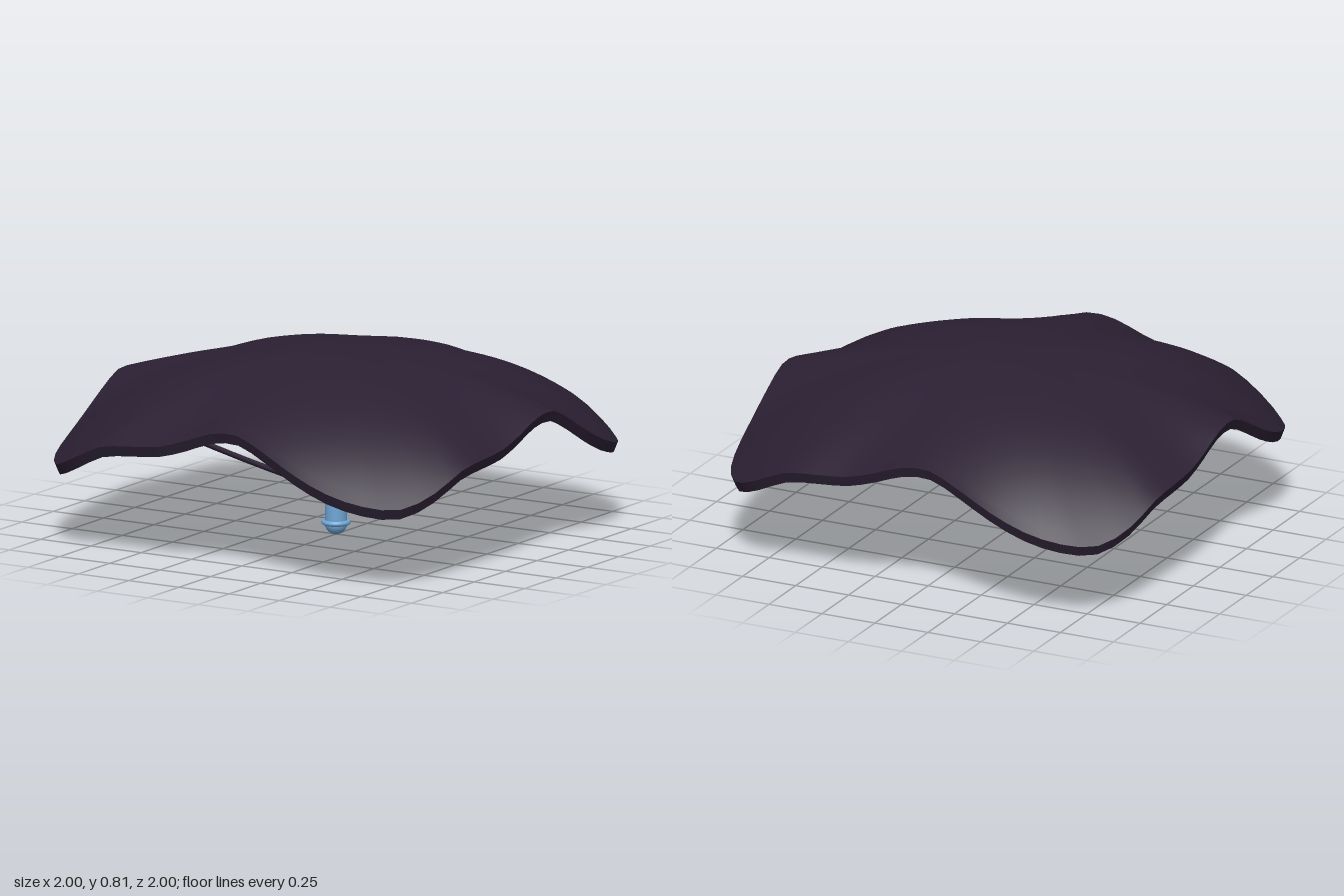
import * as THREE from 'three';

const SEG = 96;      // steps around the canopy
const RINGS = 24;    // steps from crown to hem
const CROWN = 0.81;
const DOME = 0.19;   // drop of the plain dome at the hem
const THICK = 0.045;

// Hem height over one quarter turn, every 7.5 degrees from corner to corner
const HEM = [0.36, 0.415, 0.49, 0.513, 0.528, 0.568, 0.615, 0.622, 0.56, 0.482, 0.415, 0.373];

function hemHeight(angle) {
  const n = HEM.length;
  const t = ((angle + Math.PI / 4) / (Math.PI / 2)) * n;
  const i = Math.floor(t + 1e-9), f = t - i;
  const p = (k) => HEM[(((i + k) % n) + n) % n];
  const a = p(-1), b = p(0), c = p(1), d = p(2);
  return b + 0.5 * f * (c - a + f * (2 * a - 5 * b + 4 * c - d + f * (3 * (b - c) + d - a)));
}

// Rounded-square outline, s = 0 at the crown and 1 at the hem; the waves grow towards the hem
function canopyPoint(angle, s, drop, inset) {
  const sx = Math.sin(angle), cz = Math.cos(angle), e = 4.5;
  const r = Math.pow(Math.abs(sx) ** e + Math.abs(cz) ** e, -1 / e) * s * inset;
  const wave = CROWN - DOME - hemHeight(angle);
  const y = CROWN - DOME * Math.pow(s, 1.75) - wave * Math.pow(s, 3.5) - drop;
  return [sx * r, y, cz * r];
}

// Closed loops joined into a smooth sheet
function sheet(loops) {
  const pos = [], index = [];
  loops.forEach(([s, drop, inset], i) => {
    for (let j = 0; j < SEG; j++) {
      pos.push(...canopyPoint((j / SEG) * Math.PI * 2, s, drop, inset));
      if (i === 0) continue;
      const k = (j + 1) % SEG;
      const a = (i - 1) * SEG + j, b = i * SEG + j, c = i * SEG + k, d = (i - 1) * SEG + k;
      index.push(a, b, c, a, c, d);
    }
  });
  const g = new THREE.BufferGeometry();
  g.setAttribute('position', new THREE.Float32BufferAttribute(pos, 3));
  g.setIndex(index);
  g.computeVertexNormals();
  return g;
}

export function createModel() {
  const fabric = new THREE.MeshStandardMaterial({ color: 0x2b2033 });
  fabric.name = 'dark plum fabric';
  const blue = new THREE.MeshStandardMaterial({ color: 0x70a6d6 });
  blue.name = 'sky blue';

  const model = new THREE.Group();
  model.name = 'parachute';
  const add = (parent, name, geometry, material) => {
    const mesh = new THREE.Mesh(geometry, material);
    mesh.name = name;
    parent.add(mesh);
    return mesh;
  };

  // Canopy: top, hem band and underside
  const canopy = new THREE.Group();
  canopy.name = 'canopy';
  model.add(canopy);
  const steps = Array.from({ length: RINGS + 1 }, (_, i) => i / RINGS);
  add(canopy, 'canopyTop', sheet(steps.map((s) => [s, 0, 1])), fabric);
  add(canopy, 'canopyHem', sheet([[1, 0, 1], [1, THICK, 0.985]]), fabric);
  add(canopy, 'canopyUnderside', sheet(steps.map((s) => [1 - s, THICK, 0.985])), fabric);

  // Four gently sagging cords, slightly turned off the diagonals
  const cord = new THREE.QuadraticBezierCurve3(
    new THREE.Vector3(0, 0.18, 0),
    new THREE.Vector3(0.3, 0.345, 0.32),
    new THREE.Vector3(0.6, 0.565, 0.635)
  );
  const cordGeometry = new THREE.TubeGeometry(cord, 16, 0.012, 8);
  for (let i = 0; i < 4; i++) {
    add(model, 'cord' + (i + 1), cordGeometry, fabric).rotation.y = (i * Math.PI) / 2;
  }

  // Hanging capsule with a rounded bottom, domed shoulder and small neck
  const arc = (r, cy, ry, from, to) =>
    Array.from({ length: 7 }, (_, i) => {
      const a = from + ((to - from) * i) / 6;
      return new THREE.Vector2(Math.max(0, r * Math.cos(a)), cy + ry * Math.sin(a));
    });
  const capsule = new THREE.Group();
  capsule.name = 'capsule';
  model.add(capsule);
  const body = [
    ...arc(0.047, 0.045, 0.045, -Math.PI / 2, 0),
    ...arc(0.047, 0.133, 0.037, 0, Math.PI / 2),
  ];
  add(capsule, 'capsuleBody', new THREE.LatheGeometry(body, 32), blue);
  const ring = add(capsule, 'capsuleRing', new THREE.TorusGeometry(0.052, 0.011, 10, 40), blue);
  ring.rotation.x = Math.PI / 2;
  ring.position.y = 0.053;
  const neck = add(capsule, 'capsuleNeck', new THREE.CylinderGeometry(0.019, 0.023, 0.02, 20), blue);
  neck.position.y = 0.176;
  const knob = add(capsule, 'capsuleKnob', new THREE.SphereGeometry(0.012, 12, 8), blue);
  knob.position.y = 0.191;

  return model;
}
